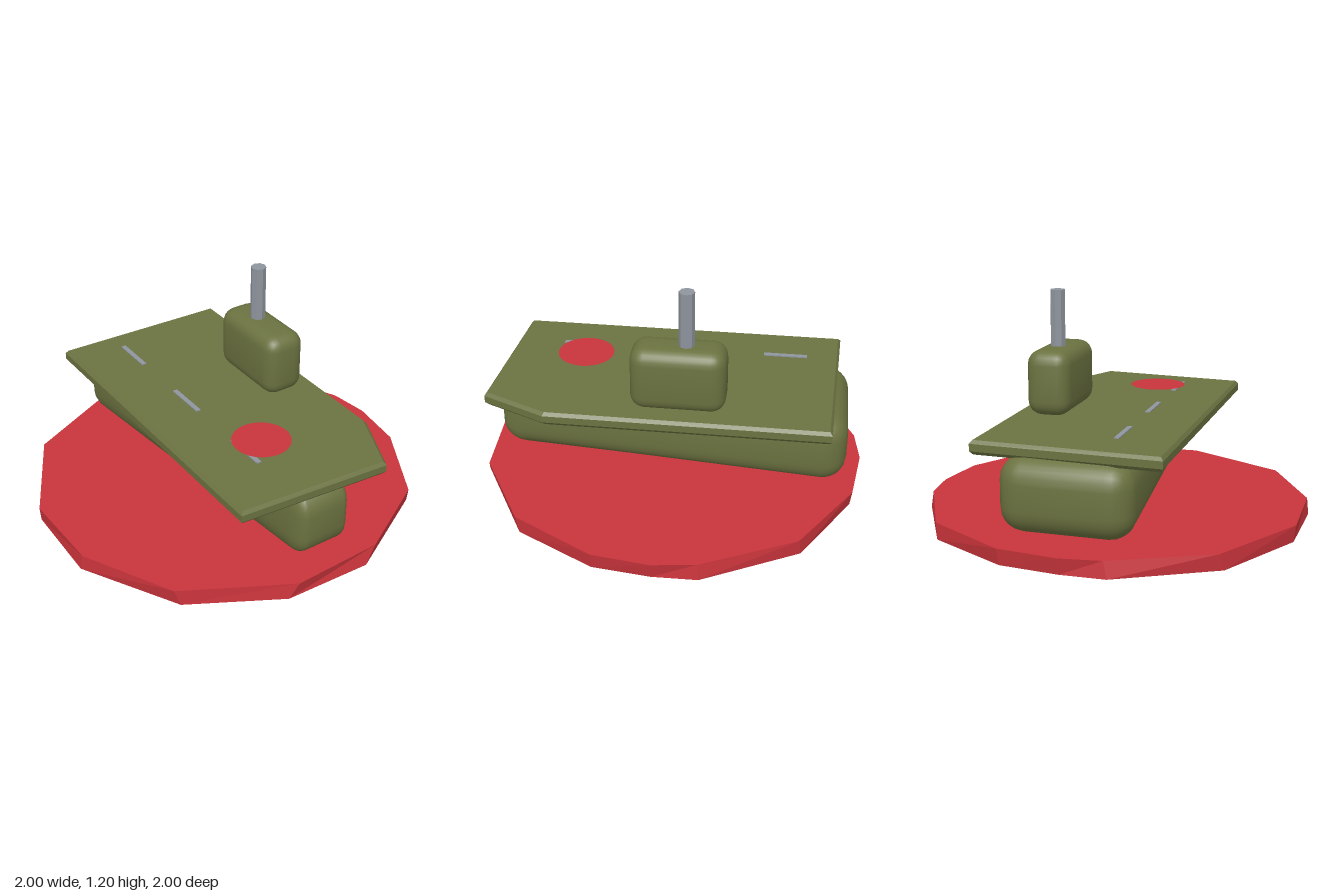
import * as THREE from 'three';
import { toCreasedNormals } from 'three/addons/utils/BufferGeometryUtils.js';
import { RoundedBoxGeometry } from 'three/addons/geometries/RoundedBoxGeometry.js';

const mat = (name, color) => Object.assign(new THREE.MeshStandardMaterial({ color }), { name });

// Closed solid from stacked rings of equal length, listed bottom to top
function loft(rings) {
  const pos = [];
  const tri = (...pts) => pts.forEach((p) => pos.push(...p));
  const centre = (r) => [0, r[0][1], 0];
  const n = rings[0].length;
  const top = rings[rings.length - 1];
  for (let i = 0; i < n; i++) {
    const j = (i + 1) % n;
    for (let k = 0; k < rings.length - 1; k++) {
      const lo = rings[k], hi = rings[k + 1];
      tri(lo[i], lo[j], hi[j]);
      tri(lo[i], hi[j], hi[i]);
    }
    tri(centre(top), top[i], top[j]);
    tri(centre(rings[0]), rings[0][j], rings[0][i]);
  }
  const g = new THREE.BufferGeometry();
  g.setAttribute('position', new THREE.Float32BufferAttribute(pos, 3));
  g.computeVertexNormals();
  return g;
}

export function createModel() {
  const model = new THREE.Group();
  const red = mat('red', 0xc8343b);
  const green = mat('olive green', 0x6b7240);
  const grey = mat('steel grey', 0x8f959e);

  const add = (name, geometry, material, x = 0, y = 0, z = 0) => {
    const mesh = new THREE.Mesh(geometry, material);
    mesh.name = name;
    mesh.position.set(x, y, z);
    model.add(mesh);
    return mesh;
  };

  // Rough-cut base disc, its lower outline slightly off from the upper one
  const upper = [[-0.21, 1], [0.28, 0.98], [0.72, 0.73], [0.96, 0.3], [1, 0], [0.97, -0.22], [0.73, -0.7],
    [0.3, -0.96], [-0.02, -1], [-0.23, -0.97], [-0.72, -0.73], [-1, -0.22], [-0.99, 0.24], [-0.745, 0.71]];
  const lower = [[-0.26, 0.985], [0.21, 1], [0.73, 0.71], [0.95, 0.3], [0.985, 0], [0.98, -0.23], [0.72, -0.71],
    [0.29, -0.95], [-0.02, -0.985], [-0.25, -0.98], [-0.74, -0.71], [-0.99, -0.23], [-1, 0.23], [-0.72, 0.73]];
  add('base', loft([lower.map(([x, z]) => [x, 0, z]), upper.map(([x, z]) => [x, 0.085, z])]), red);

  // Hull: rounded block narrowing towards the bow
  const hull = new RoundedBoxGeometry(0.67, 0.38, 1.845, 3, 0.125);
  const p = hull.attributes.position;
  for (let i = 0; i < p.count; i++) {
    const t = THREE.MathUtils.clamp((p.getZ(i) + 0.8) / 1.6, 0, 1);
    p.setX(i, p.getX(i) * (1 - 0.52 * t));
  }
  add('hull', toCreasedNormals(hull, 0.6), green, -0.003, 0.32, 0.007);

  // Deck slab with chamfered rim and one cut front corner
  const outline = [[-0.48, 0.89], [0.33, 0.955], [0.48, 0.62], [0.48, -0.83], [-0.48, -0.86]];
  const ring = (y, inset) => outline.map(([x, z]) => [x * (1 - inset / 0.48), y, z * (1 - inset / 0.9)]);
  add('deck', loft([ring(0.49, 0.015), ring(0.508, 0), ring(0.545, 0), ring(0.562, 0.014)]), green);

  // Deck markings
  for (const z of [-0.565, -0.015, 0.525]) {
    add('deckStripe', new THREE.BoxGeometry(0.025, 0.006, 0.23), grey, -0.207, 0.587, z);
  }
  add('deckCircle', new THREE.CircleGeometry(0.15, 32).rotateX(-Math.PI / 2), red, -0.095, 0.597, 0.5);

  // Tower and mast
  const tower = new RoundedBoxGeometry(0.23, 0.34, 0.485, 3, 0.075);
  add('tower', toCreasedNormals(tower, 0.6), green, 0.29, 0.73, -0.05);
  const mast = new THREE.CylinderGeometry(0.04, 0.04, 0.32, 8);
  add('mast', toCreasedNormals(mast, 0.3), grey, 0.29, 1.035, -0.088);

  return model;
}
